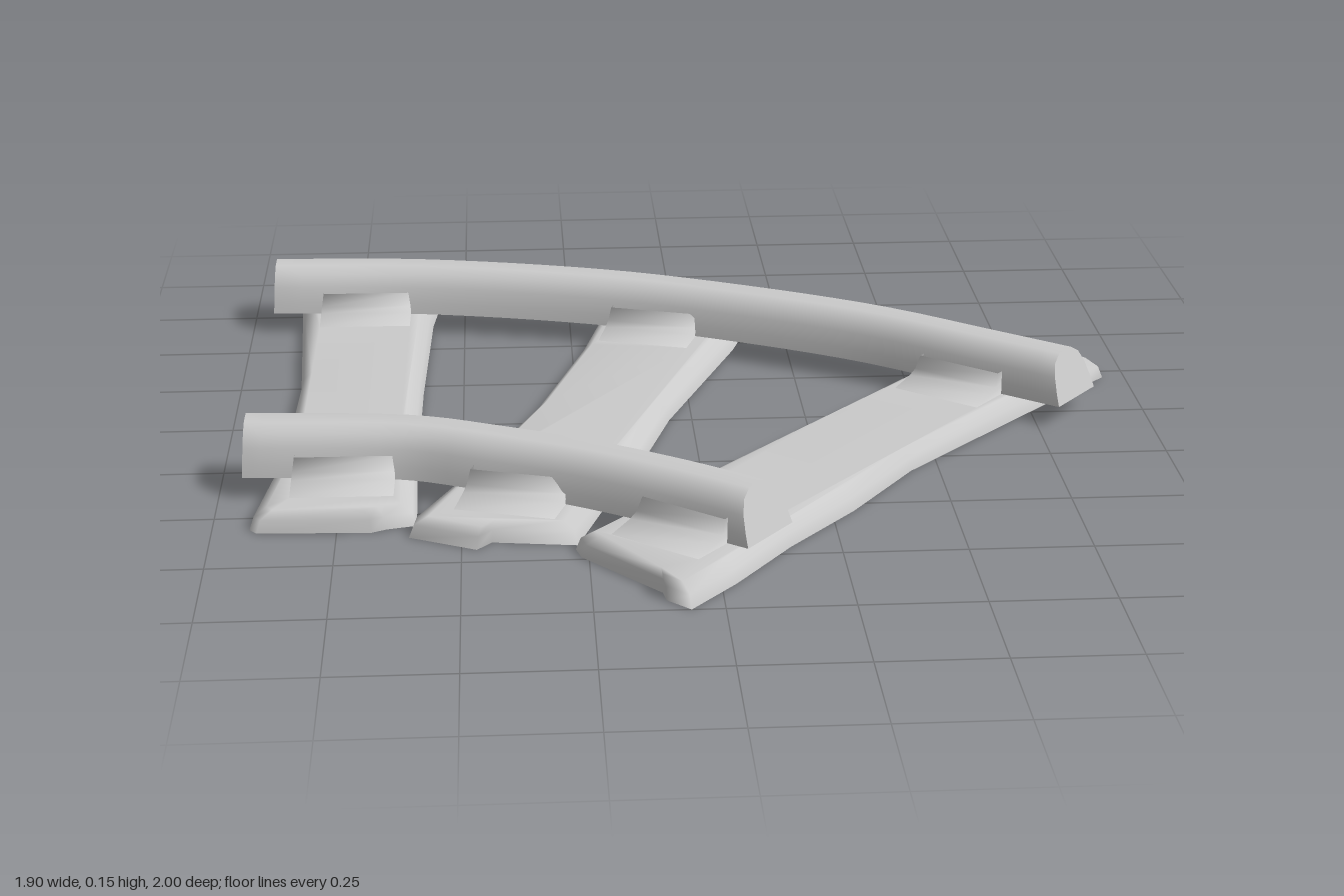
import * as THREE from 'three';
import { mergeGeometries, mergeVertices } from 'three/addons/utils/BufferGeometryUtils.js';

const material = new THREE.MeshStandardMaterial({ color: 0xcccccc, side: THREE.DoubleSide });

// Skin between successive rings of [x, y, z] points
function loft(rings, closed) {
  const n = rings[0].length, index = [];
  for (let i = 0; i < rings.length - 1; i++) {
    for (let j = 0; j < (closed ? n : n - 1); j++) {
      const k = (j + 1) % n;
      const a = i * n + j, b = a + n, c = i * n + k, d = c + n;
      index.push(a, b, c, c, b, d);
    }
  }
  const g = new THREE.BufferGeometry();
  g.setAttribute('position', new THREE.Float32BufferAttribute(rings.flat(2), 3));
  g.setIndex(index);
  g.computeVertexNormals();
  return g;
}

// Upward face from an outline of [x, z] points, with openings
function plate(outline, y, holes) {
  const toPts = list => list.map(p => new THREE.Vector2(p[0], p[1]));
  const shape = new THREE.Shape(toPts(outline));
  shape.holes = holes.map(h => new THREE.Path(toPts(h)));
  const g = new THREE.ShapeGeometry(shape);
  g.deleteAttribute('uv');
  const p = g.attributes.position;
  for (let i = 0; i < p.count; i++) p.setXYZ(i, p.getX(i), y, p.getY(i));
  g.index.array.reverse();
  return g;
}

// Join parts into one smooth surface
function weld(parts) {
  const g = mergeVertices(mergeGeometries(parts.map(p => p.deleteAttribute('normal'))), 1e-4);
  g.computeVertexNormals();
  return g;
}

// Axis of each sleeper (far end, near end), its outline and where the rails cross it
const sleepers = [
  {
    name: 'leftSleeper', far: [-0.73, -0.96], near: [-0.75, 0.58],
    chairs: [[-0.73, -0.725], [-0.74, 0.325]],
    outline: [[-0.905, -1], [-0.79, -0.985], [-0.77, -0.945], [-0.715, -0.93], [-0.7, -0.87], [-0.68, -0.94],
      [-0.62, -0.925], [-0.6, -0.95], [-0.55, -0.935], [-0.555, -0.85], [-0.575, -0.66], [-0.59, -0.2],
      [-0.595, 0.24], [-0.59, 0.56], [-0.65, 0.575], [-0.68, 0.59], [-0.91, 0.58], [-0.925, 0.56],
      [-0.88, 0.24], [-0.865, -0.24], [-0.885, -0.66], [-0.895, -0.85]],
  },
  {
    name: 'middleSleeper', far: [0.03, -0.77], near: [-0.43, 0.66],
    chairs: [[-0.035, -0.55], [-0.36, 0.445]],
    outline: [[-0.11, -0.87], [-0.06, -0.84], [-0.04, -0.81], [0.16, -0.71], [0.19, -0.68], [0.18, -0.635],
      [0.125, -0.45], [-0.05, 0], [-0.15, 0.345], [-0.205, 0.475], [-0.27, 0.68], [-0.44, 0.655],
      [-0.47, 0.69], [-0.605, 0.62], [-0.6, 0.58], [-0.485, 0.33], [-0.34, -0.03], [-0.23, -0.4],
      [-0.165, -0.69], [-0.14, -0.82]],
  },
  {
    name: 'rightSleeper', far: [0.79, -0.3], near: [-0.16, 0.85],
    chairs: [[0.65, -0.125], [-0.01, 0.66]],
    outline: [[0.67, -0.38], [0.77, -0.32], [0.86, -0.325], [0.95, -0.21], [0.89, -0.15], [0.72, 0.03],
      [0.44, 0.33], [0.295, 0.54], [0.15, 0.715], [0.03, 0.885], [-0.065, 1], [-0.11, 0.955],
      [-0.115, 0.92], [-0.265, 0.74], [-0.275, 0.7], [-0.17, 0.58], [0.03, 0.345], [0.295, 0.05],
      [0.505, -0.185], [0.595, -0.29], [0.64, -0.37]],
  },
];

// Chair steps: half-width across, then start and end along the sleeper, and height
const chairSteps = [
  [0.105, -0.12, 0.18, 0.044], [0.105, -0.1, 0.12, 0.056],
  [0.104, -0.094, 0.098, 0.066], [0.1, -0.083, 0.085, 0.094],
];

// Worn plank shell, open underneath, rising to a raised chair at each rail
function makeSleeper({ name, far, near, chairs, outline }) {
  const group = new THREE.Group();
  group.name = name;
  const len = Math.hypot(near[0] - far[0], near[1] - far[1]);
  const dx = (near[0] - far[0]) / len, dz = (near[1] - far[1]) / len;
  const mid = [(far[0] + near[0]) / 2, (far[1] + near[1]) / 2];
  // u runs across the sleeper, v along it
  const place = (c, u, v) => [c[0] + u * dz + v * dx, c[1] - u * dx + v * dz];
  const inset = (su, sv) => outline.map(([x, z]) => {
    const px = x - mid[0], pz = z - mid[1];
    return place(mid, (px * dz - pz * dx) * su, (px * dx + pz * dz) * sv);
  });
  const lift = (pts, y) => pts.map(([x, z]) => [x, y, z]);
  const step = (c, [hu, v0, v1]) =>
    [[-hu, v0], [hu, v0], [hu, v1], [-hu, v1]].map(([u, v]) => place(c, u, v));

  const top = inset(0.8, 0.98);
  const plank = new THREE.Mesh(weld([
    loft([lift(outline, 0), lift(inset(0.95, 0.993), 0.026), lift(top, 0.044)], true),
    plate(top, 0.044, chairs.map(c => step(c, chairSteps[0]))),
  ]), material);
  plank.name = 'plank';
  group.add(plank);

  for (const c of chairs) {
    const chair = new THREE.Mesh(loft(chairSteps.map(s => lift(step(c, s), s[3])), true), material);
    chair.name = 'railChair';
    group.add(chair);
  }
  return group;
}

// Rounded half-profile of a rail, mirrored to a full arch open underneath
const half = [[0.08, 0.045], [0.076, 0.07], [0.067, 0.105], [0.052, 0.132], [0.026, 0.147]];
const profile = [...half, ...half.map(([u, y]) => [-u, y]).reverse()];

function makeRail(name, points) {
  const curve = new THREE.CatmullRomCurve3(points.map(([x, z]) => new THREE.Vector3(x, 0, z)));
  const steps = 28, rings = [];
  for (let i = 0; i <= steps; i++) {
    const p = curve.getPointAt(i / steps), t = curve.getTangentAt(i / steps);
    if (i === 0) t.set(1, 0, 0);
    // The far end face leans back
    const lean = i === 0 ? 0.05 : i === steps ? -0.33 : 0;
    rings.push(profile.map(([u, y]) => {
      const s = lean * (y - 0.045);
      return [p.x - u * t.z + s * t.x, y, p.z + u * t.x + s * t.z];
    }));
  }
  // End faces close onto the middle of the base
  const hub = ring => {
    const a = ring[0], b = ring[ring.length - 1];
    return ring.map(() => [(a[0] + b[0]) / 2, 0.045, (a[2] + b[2]) / 2]);
  };
  const last = rings[steps];
  const mesh = new THREE.Mesh(mergeGeometries([
    loft(rings, false),
    loft([hub(rings[0]), rings[0]], false),
    loft([last, hub(last)], false),
  ]), material);
  mesh.name = name;
  return mesh;
}

export function createModel() {
  const group = new THREE.Group();
  group.name = 'curvedTrack';
  sleepers.forEach(s => group.add(makeSleeper(s)));
  group.add(makeRail('outerRail', [[-0.95, -0.73], [-0.6, -0.705], [-0.19, -0.605], [0.085, -0.49],
    [0.43, -0.3], [0.665, -0.115], [0.845, 0.03]]));
  group.add(makeRail('innerRail', [[-0.95, 0.31], [-0.6, 0.345], [-0.44, 0.41], [-0.26, 0.5],
    [-0.075, 0.62], [0.105, 0.76]]));
  return group;
}
